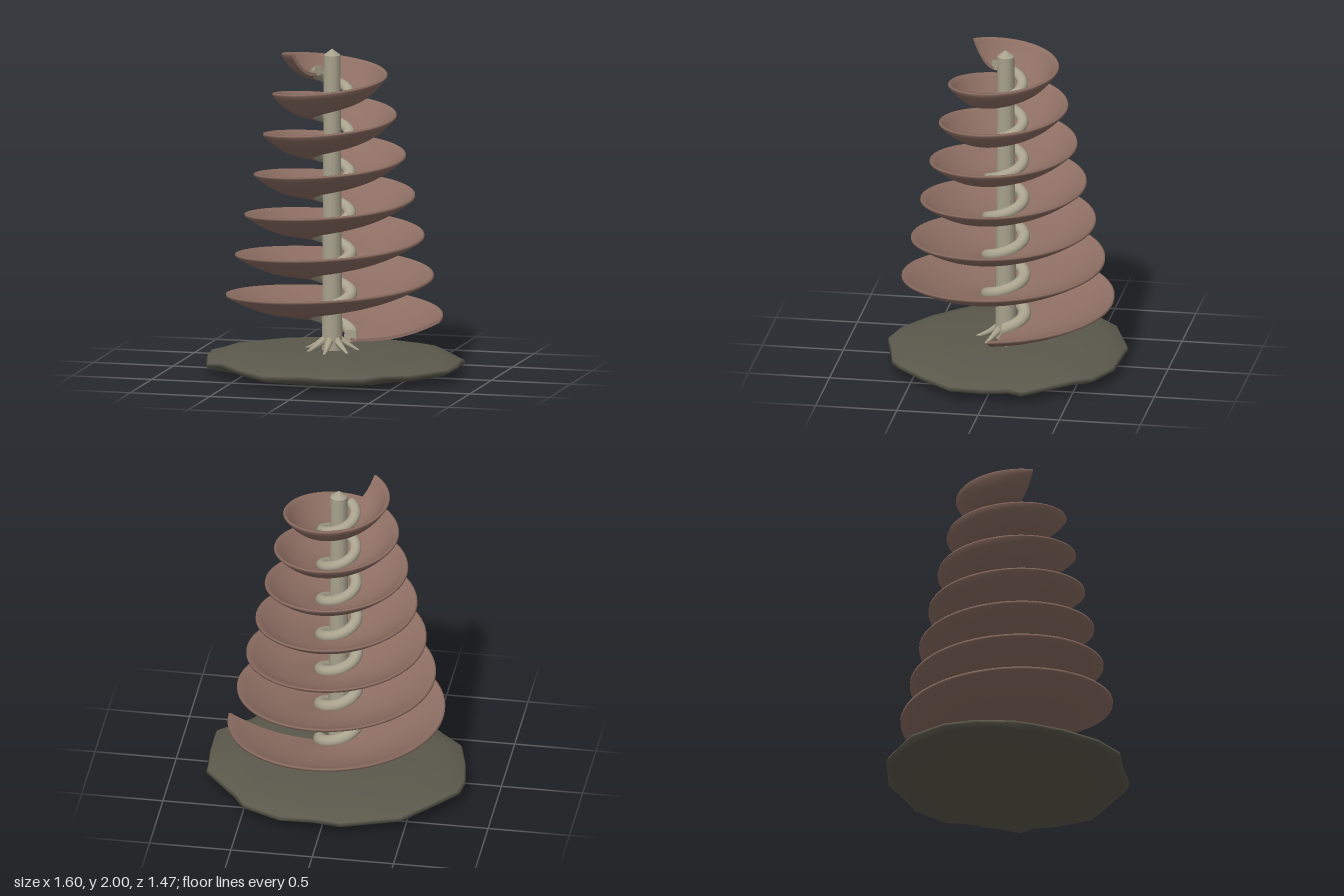
import * as THREE from 'three';

const TURNS = 6.64;
const rimY = (t) => 0.358 + 0.247 * t;      // height of the blade's rim after t turns
const rimR = (t) => 0.68 - 0.057 * t;       // radius of the rim after t turns

// Sweeps a closed clockwise [r, y] section along the helix and caps both ends
function sweepHelix(section, steps) {
  const pos = [], idx = [];
  const n = section(0).length;
  const addRow = (t) => {
    const a = t * Math.PI * 2, c = Math.cos(a), s = Math.sin(a);
    for (const [r, y] of section(t)) pos.push(r * c, y, -r * s);
  };
  for (let i = 0; i <= steps; i++) addRow((TURNS * i) / steps);
  for (let i = 0; i < steps; i++) {
    for (let j = 0; j < n; j++) {
      const k = (j + 1) % n;
      const a = i * n + j, b = i * n + k, c = a + n, d = b + n;
      idx.push(a, b, c, b, d, c);
    }
  }
  // End caps with their own vertices, stitched between upper and lower halves
  [0, TURNS].forEach((t, end) => {
    const base = pos.length / 3;
    addRow(t);
    for (let k = 0; k < Math.floor((n - 1) / 2); k++) {
      const u = base + k, u2 = u + 1, l = base + n - 1 - k, l2 = l - 1;
      if (end) idx.push(u, l2, l, u, u2, l2);
      else idx.push(u, l, l2, u, l2, u2);
    }
  });
  const g = new THREE.BufferGeometry();
  g.setAttribute('position', new THREE.Float32BufferAttribute(pos, 3));
  g.setIndex(idx);
  g.computeVertexNormals();
  return g;
}

// Bowl-shaped blade section: shallow near the stem, steep at the rim
function bladeSection(t) {
  const inner = 0.115, outer = rimR(t) - 0.014, top = rimY(t);
  const upper = [], lower = [];
  const depth = 0.137, power = 2.2, thick = 0.02, N = 12;
  for (let i = 0; i <= N; i++) {
    const s = i / N;
    const r = inner + (outer - inner) * s;
    const y = top - depth * (1 - s ** power);
    const m = (depth * power * s ** (power - 1)) / (outer - inner);
    const k = thick / Math.hypot(1, m);
    upper.push([r, y]);
    lower.unshift([r + k * m, y - k]);
  }
  return [...upper, [outer + 0.011, top - 0.003], ...lower];
}

// Round vine section following the inner edge of the blade
function vineSection(t) {
  const f = t / TURNS, rad = 0.04 - 0.007 * f, r = 0.115 - 0.015 * f, n = 14;
  return Array.from({ length: n }, (_, k) => {
    const a = Math.PI - (2 * Math.PI * (k + 0.5)) / n;
    return [r + rad * Math.cos(a), rimY(t) - 0.122 + rad * Math.sin(a)];
  });
}

// Irregular lens-shaped slab built from scaled copies of one outline
function slabGeometry() {
  const outline = [
    [0.795, 0], [0.78, -0.15], [0.78, -0.23], [0.56, -0.51], [0.49, -0.62], [0.25, -0.71],
    [0.05, -0.73], [-0.13, -0.735], [-0.48, -0.61], [-0.7, -0.37], [-0.78, -0.23], [-0.8, -0.12],
    [-0.77, 0.08], [-0.71, 0.31], [-0.6, 0.385], [-0.45, 0.545], [-0.25, 0.69], [0, 0.73],
    [0.14, 0.69], [0.37, 0.64], [0.48, 0.58], [0.61, 0.41], [0.795, 0.22],
  ];
  const rings = [
    [0, 0], [0.5, 0.004], [0.8, 0.022], [0.95, 0.048], [1, 0.068], [0.985, 0.09],
    [0.85, 0.117], [0.6, 0.137], [0.3, 0.145], [0, 0.147],
  ];
  const n = outline.length, pos = [], idx = [];
  for (const [s, y] of rings) {
    outline.forEach(([x, z], j) => {
      const wave = s > 0.9 ? 0.01 * Math.sin(j * 2.3) : 0;
      pos.push(x * s, y + wave, z * s);
    });
  }
  for (let i = 0; i < rings.length - 1; i++) {
    for (let j = 0; j < n; j++) {
      const k = (j + 1) % n;
      const a = i * n + j, b = i * n + k, c = a + n, d = b + n;
      if (i > 0) idx.push(a, b, c);
      if (i < rings.length - 2) idx.push(b, d, c);
      else if (i === rings.length - 2) idx.push(b, d, c);
    }
    if (i === 0) for (let j = 0; j < n; j++) { /* centre fan is covered by the b, d, c faces */ }
  }
  const g = new THREE.BufferGeometry();
  g.setAttribute('position', new THREE.Float32BufferAttribute(pos, 3));
  g.setIndex(idx);
  g.computeVertexNormals();
  return g;
}

// Tapered root: a tube whose rings shrink towards the tip
function rootGeometry(length) {
  const curve = new THREE.CatmullRomCurve3([
    new THREE.Vector3(0.02, 0.235, 0),
    new THREE.Vector3(0.07, 0.195, 0),
    new THREE.Vector3(0.12, 0.165, 0),
    new THREE.Vector3(length, 0.135, 0),
  ]);
  const segs = 8, sides = 8;
  const g = new THREE.TubeGeometry(curve, segs, 0.028, sides, false);
  const p = g.attributes.position, v = new THREE.Vector3();
  for (let i = 0; i <= segs; i++) {
    const c = curve.getPointAt(i / segs);
    for (let j = 0; j <= sides; j++) {
      const id = i * (sides + 1) + j;
      v.fromBufferAttribute(p, id).sub(c).multiplyScalar(1 - 0.75 * (i / segs)).add(c);
      p.setXYZ(id, v.x, v.y, v.z);
    }
  }
  g.computeVertexNormals();
  return g;
}

export function createModel() {
  const model = new THREE.Group();
  const material = (name, color) => {
    const m = new THREE.MeshStandardMaterial({ color });
    m.name = name;
    return m;
  };
  const brown = material('dusty brown', 0x8d6e63);
  const cream = material('pale stem', 0xa8a28d);
  const stone = material('dark stone', 0x5b594c);
  const add = (name, geometry, mat, parent = model) => {
    const mesh = new THREE.Mesh(geometry, mat);
    mesh.name = name;
    parent.add(mesh);
    return mesh;
  };

  add('groundSlab', slabGeometry(), stone);
  add('spiralBlade', sweepHelix(bladeSection, 420), brown);
  add('spiralVine', sweepHelix(vineSection, 300), cream);

  // Stem with a pointed tip
  add('stem', new THREE.CylinderGeometry(0.052, 0.065, 1.86, 12, 1, true), cream).position.y = 1.03;
  add('stemTip', new THREE.ConeGeometry(0.052, 0.04, 12, 1, true), cream).position.y = 1.98;

  // Roots spreading from the foot of the stem
  const roots = new THREE.Group();
  roots.name = 'roots';
  model.add(roots);
  const count = 7;
  for (let i = 0; i < count; i++) {
    const root = add('root', rootGeometry(0.17 + 0.02 * (i % 2)), cream, roots);
    root.rotation.y = (i / count) * Math.PI * 2 + 0.2;
  }
  return model;
}
